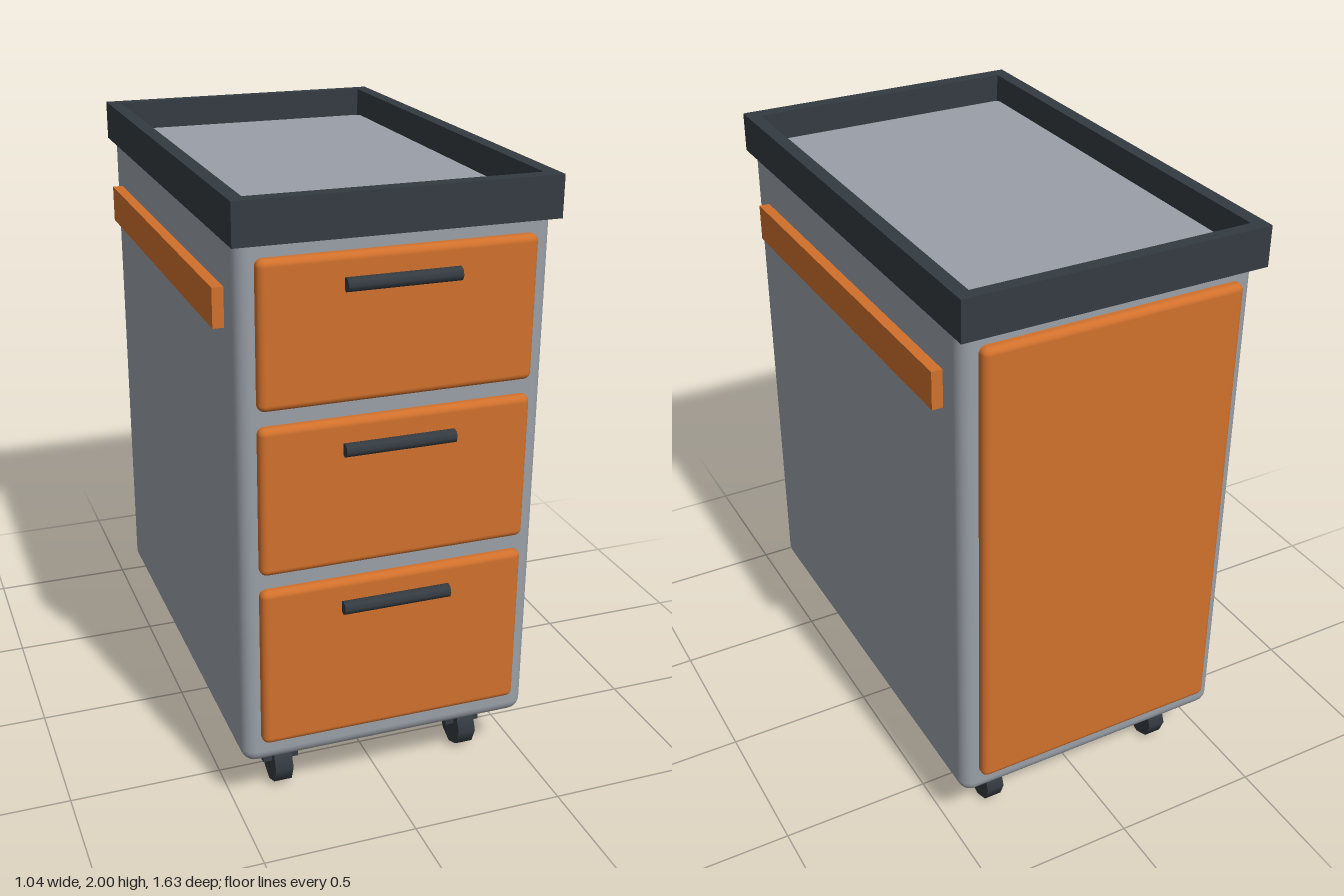
import * as THREE from 'three';
import { RoundedBoxGeometry } from 'three/addons/geometries/RoundedBoxGeometry.js';

const material = (name, color) => {
  const m = new THREE.MeshStandardMaterial({ color });
  m.name = name;
  return m;
};

export function createModel() {
  const grey = material('cabinet grey', 0x9aa0a8);
  const orange = material('drawer orange', 0xd0702c);
  const dark = material('charcoal', 0x343b41);

  const model = new THREE.Group();
  model.name = 'drawerTrolley';

  const add = (name, geometry, mat, x = 0, y = 0, z = 0, parent = model) => {
    const mesh = new THREE.Mesh(geometry, mat);
    mesh.name = name;
    mesh.position.set(x, y, z);
    parent.add(mesh);
    return mesh;
  };
  // boxes given by their limits on each axis
  const span = (name, mat, [x0, x1], [y0, y1], [z0, z1], radius = 0, parent = model) => {
    const size = [x1 - x0, y1 - y0, z1 - z0];
    const geometry = radius ? new RoundedBoxGeometry(...size, 3, radius) : new THREE.BoxGeometry(...size);
    return add(name, geometry, mat, (x0 + x1) / 2, (y0 + y1) / 2, (z0 + z1) / 2, parent);
  };

  // cabinet; its top is the floor of the tray
  span('cabinetBody', grey, [-0.485, 0.485], [0.18, 1.91], [-0.78, 0.755], 0.045);

  // raised rim around the top
  const rimY = [1.87, 2];
  span('rimFront', dark, [-0.5, 0.5], rimY, [0.732, 0.78]);
  span('rimBack', dark, [-0.5, 0.5], rimY, [-0.815, -0.773]);
  span('rimLeft', dark, [0.455, 0.5], rimY, [-0.773, 0.732]);
  span('rimRight', dark, [-0.5, -0.455], rimY, [-0.773, 0.732]);

  // drawers with bar handles
  const drawers = [[1.38, 1.83, 1.742], [0.855, 1.33, 1.24], [0.265, 0.803, 0.717]];
  drawers.forEach(([y0, y1, handleY], i) => {
    const drawer = new THREE.Group();
    drawer.name = `drawer${i + 1}`;
    model.add(drawer);
    span('drawerFront', orange, [-0.43, 0.43], [y0, y1], [0.725, 0.785], 0.022, drawer);
    const bar = new THREE.CylinderGeometry(0.022, 0.022, 0.35, 8).rotateZ(Math.PI / 2);
    add('drawerHandle', bar, dark, 0, handleY, 0.797, drawer);
  });

  // back panel
  span('backPanel', orange, [-0.43, 0.43], [0.265, 1.83], [-0.813, -0.753], 0.022);

  // side rails
  for (const [side, x] of [['left', [0.475, 0.52]], ['right', [-0.52, -0.475]]]) {
    span(`${side}SideRail`, orange, x, [1.6, 1.722], [-0.673, 0.637]);
  }

  // casters
  for (const x of [-0.325, 0.325]) {
    for (const z of [-0.627, 0.595]) {
      const caster = new THREE.Group();
      caster.name = 'caster';
      caster.position.set(x, 0, z);
      model.add(caster);
      span('casterBracket', dark, [-0.06, 0.06], [0.09, 0.19], [-0.032, 0.032], 0, caster);
      const wheel = new THREE.CylinderGeometry(0.076, 0.076, 0.06, 8).rotateZ(Math.PI / 2);
      add('casterWheel', wheel, dark, 0, 0.076, 0, caster);
    }
  }

  return model;
}
